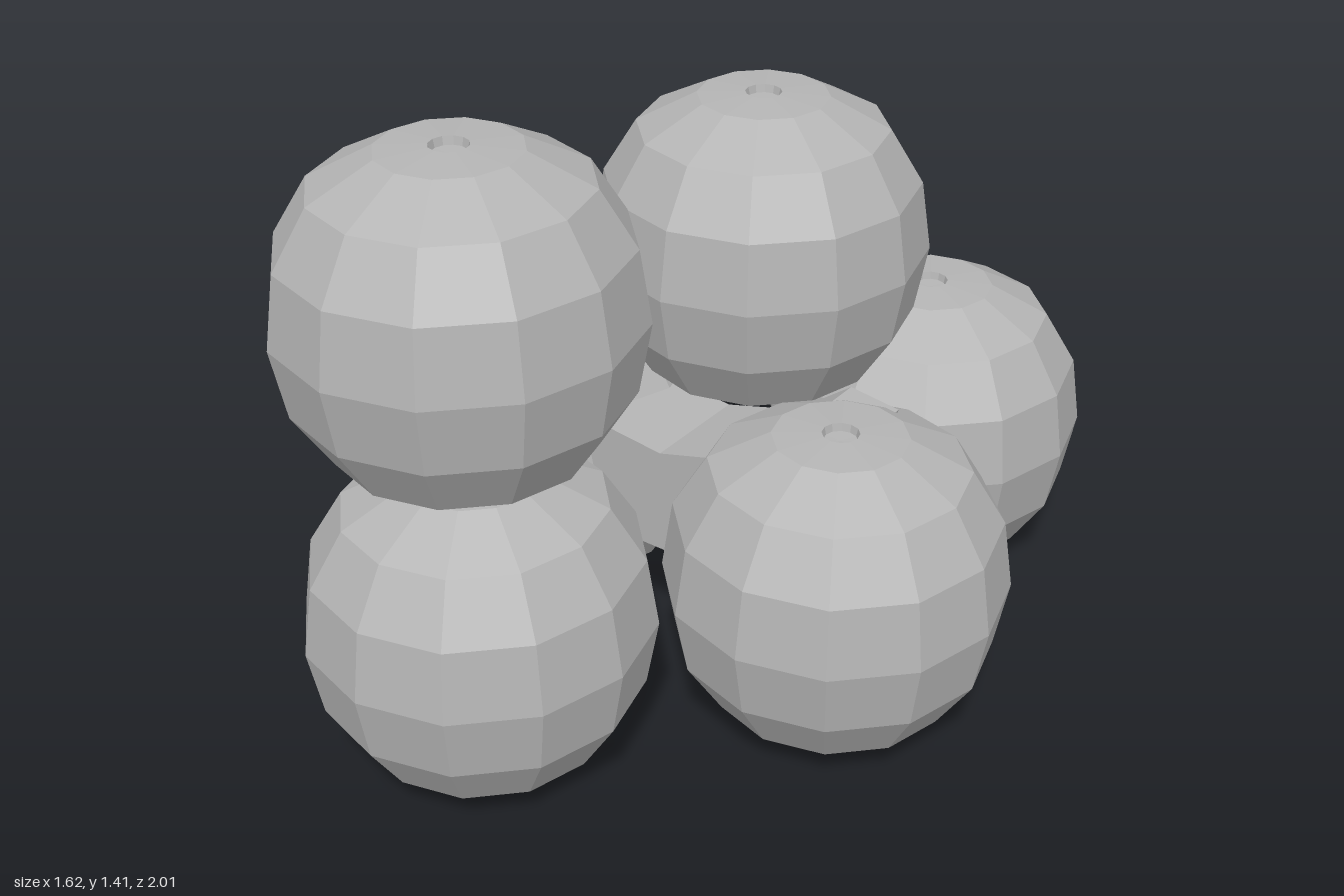
import * as THREE from 'three';

export function createModel() {
  const group = new THREE.Group();
  const grey = new THREE.MeshStandardMaterial({ color: 0xb4b4b4, flatShading: true });
  grey.name = 'grey';

  // Faceted ball with a flattened crown and a small dimple on top
  const profile = [
    [0, 0.005], [0.14, 0.03], [0.265, 0.09], [0.345, 0.215], [0.373, 0.365],
    [0.35, 0.52], [0.277, 0.64], [0.145, 0.71], [0.04, 0.717], [0.036, 0.7], [0, 0.698],
  ].map(([r, y]) => new THREE.Vector2(r, y));
  const ballGeometry = new THREE.LatheGeometry(profile, 12);

  const balls = [
    ['frontBall', -0.085, 0, 0.63],
    ['frontUpperBall', -0.09, 0.702, 0.635],
    ['rightBall', -0.44, 0, -0.07],
    ['leftBall', 0.435, 0, 0.08],
    ['backBall', 0.23, 0, -0.632],
    ['middleUpperBall', 0.015, 0.55, -0.235],
  ];
  for (const [name, x, y, z] of balls) {
    const ball = new THREE.Mesh(ballGeometry, grey);
    ball.name = name;
    ball.position.set(x, y, z);
    group.add(ball);
  }

  // Chunky core wedged between the balls, with a raised lip on its left end
  const outline = new THREE.Shape([
    [-0.25, 0.3], [0.34, 0.3], [0.46, 0.69], [0.34, 0.705],
    [0.2, 0.6], [0.02, 0.55], [-0.25, 0.58],
  ].map(([x, y]) => new THREE.Vector2(x, y)));
  const coreGeometry = new THREE.ExtrudeGeometry(outline, { depth: 0.26, bevelEnabled: false });
  const core = new THREE.Mesh(coreGeometry, grey);
  core.name = 'core';
  core.position.z = -0.11;
  group.add(core);

  return group;
}
